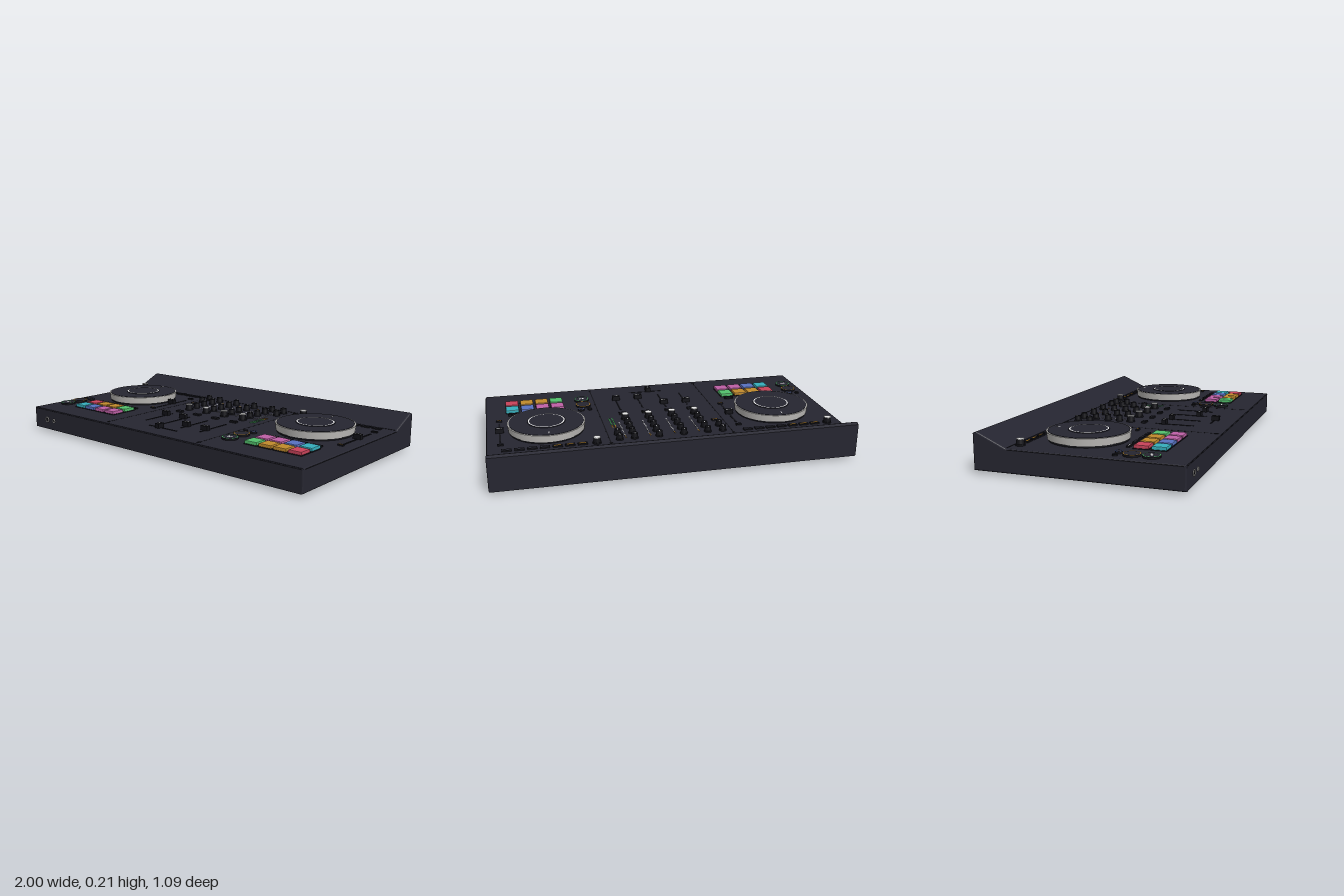
import * as THREE from 'three';

const mat = (name, color) => Object.assign(new THREE.MeshStandardMaterial({ color }), { name });
const M = {
  body: mat('charcoal', 0x252530), black: mat('black', 0x121217), silver: mat('silver', 0xbdbbb8),
  white: mat('white', 0xe4e4e4), red: mat('red', 0xc8435a), orange: mat('orange', 0xc08a2c),
  green: mat('green', 0x52c06c), teal: mat('teal', 0x36aebc), blue: mat('blue', 0x5872c0), pink: mat('pink', 0xbe60a6),
};
const TOP = 0.14; // height of the control surface

function add(parent, name, geo, m, x, y, z) {
  const mesh = new THREE.Mesh(geo, m);
  mesh.name = name;
  mesh.position.set(x, y, z);
  parent.add(mesh);
  return mesh;
}
// box and cylinder resting on height y
const box = (p, name, m, x, z, w, d, h, y = TOP) => add(p, name, new THREE.BoxGeometry(w, h, d), m, x, y + h / 2, z);
const disc = (p, name, m, x, z, r, h, y = TOP, rTop = r, seg = 32) =>
  add(p, name, new THREE.CylinderGeometry(rTop, r, h, seg), m, x, y + h / 2, z);
// flat ring facing up
function ring(p, name, m, x, z, r, w, y) {
  const g = new THREE.RingGeometry(r - w, r, 64);
  g.rotateX(-Math.PI / 2);
  return add(p, name, g, m, x, y, z);
}

function knob(p, name, x, z, r, cap) {
  const g = new THREE.Group();
  g.name = name;
  g.position.set(x, TOP, z);
  disc(g, 'knobSkirt', M.black, 0, 0, r * 1.1, 0.008, 0, r * 1.1, 20);
  disc(g, 'knobBody', M.black, 0, 0, r, 0.032, 0, r * 0.88, 20);
  if (cap) disc(g, 'knobCap', M.white, 0, 0, r * 0.9, 0.003, 0.032, r * 0.9, 20);
  else box(g, 'knobPointer', M.white, 0, -r * 0.4, 0.004, r * 0.75, 0.001, 0.032);
  p.add(g);
}

function fader(p, name, x, z, w, d, alongX) {
  box(p, name + 'Cap', M.black, x, z, w, d, 0.026, TOP + 0.002);
  box(p, name + 'Mark', M.white, x, z, alongX ? 0.003 : w * 0.8, alongX ? d * 0.4 : 0.004, 0.001, TOP + 0.028);
}

function pad(p, m, x, z) {
  const s = 0.034, shape = new THREE.Shape();
  shape.moveTo(-s, -s).lineTo(s, -s).lineTo(s, s).lineTo(-s, s).closePath();
  const g = new THREE.ExtrudeGeometry(shape, { depth: 0.01, bevelSize: 0.004, bevelThickness: 0.004, bevelSegments: 2 });
  g.rotateX(-Math.PI / 2);
  box(p, 'padBed', M.black, x, z, 0.082, 0.082, 0.003);
  add(p, 'performancePad', g, m, x, TOP + 0.006, z);
}

function jogWheel(p) {
  const g = new THREE.Group();
  g.name = 'jogWheel';
  g.position.set(0, TOP, -0.072);
  disc(g, 'jogBase', M.black, 0, 0, 0.208, 0.012, 0, 0.208, 64);
  disc(g, 'jogRim', M.silver, 0, 0, 0.213, 0.038, 0.01, 0.217, 64);
  disc(g, 'jogPlate', M.body, 0, 0, 0.209, 0.002, 0.048, 0.209, 64);
  disc(g, 'jogCentre', M.body, 0, 0, 0.106, 0.003, 0.05, 0.106, 64);
  ring(g, 'jogCentreRing', M.white, 0, 0, 0.102, 0.007, 0.0535);
  box(g, 'jogMarker', M.white, 0, -0.175, 0.005, 0.026, 0.001, 0.05);
  p.add(g);
}

function roundButton(p, name, m, x, z, r) {
  disc(p, name, M.black, x, z, r, 0.01);
  disc(p, name + 'Face', M.body, x, z, r * 0.95, 0.001, TOP + 0.01);
  ring(p, name + 'Light', m, x, z, r, r > 0.03 ? 0.005 : 0.004, TOP + 0.0115);
}

function deck(name, x, padColours) {
  const g = new THREE.Group();
  g.name = name;
  g.position.x = x;
  jogWheel(g);
  padColours.forEach((m, i) => pad(g, m, -0.09 + (i % 4) * 0.0893, i < 4 ? 0.254 : 0.345));
  // cue and play buttons
  roundButton(g, 'cueButton', M.orange, -0.248, 0.254, 0.044);
  roundButton(g, 'playButton', M.green, -0.248, 0.35, 0.044);
  const tri = new THREE.Shape();
  tri.moveTo(-0.013, -0.011).lineTo(0.003, 0).lineTo(-0.013, 0.011).closePath();
  const icon = new THREE.ShapeGeometry(tri);
  icon.rotateX(-Math.PI / 2);
  add(g, 'playIcon', icon, M.white, -0.248, TOP + 0.012, 0.35);
  for (const dx of [0.006, 0.013]) box(g, 'pauseIcon', M.white, -0.248 + dx, 0.35, 0.004, 0.02, 0.001, TOP + 0.011);
  roundButton(g, 'syncButton', M.blue, -0.226, 0.18, 0.019);
  disc(g, 'shiftButton', M.black, -0.278, 0.18, 0.013, 0.008);
  // browse encoder and button row behind the wheel
  knob(g, 'browseKnob', -0.248, -0.329, 0.022, true);
  for (let i = 0; i < 7; i++) {
    const bx = -0.17 + i * 0.0668;
    box(g, 'topButton', M.black, bx, -0.329, 0.052, 0.022, 0.008);
    box(g, 'topButtonFace', i < 3 ? M.orange : M.body, bx, -0.329, i < 3 ? 0.036 : 0.046, i < 3 ? 0.007 : 0.015, 0.001, TOP + 0.008);
  }
  // pad mode buttons
  for (let i = 0; i < 4; i++) {
    const bx = -0.09 + i * 0.0893;
    box(g, 'modeButton', M.black, bx, 0.182, 0.054, 0.018, 0.008);
    box(g, 'modeButtonFace', i ? M.body : M.white, bx, 0.182, 0.042, i ? 0.01 : 0.004, 0.001, TOP + 0.008);
  }
  // tempo slider
  box(g, 'tempoSlot', M.black, 0.26, -0.072, 0.01, 0.27, 0.002);
  fader(g, 'tempoSlider', 0.26, -0.072, 0.046, 0.024);
  box(g, 'tempoResetButton', M.black, 0.26, -0.25, 0.032, 0.016, 0.008);
  box(g, 'keyLockButton', M.black, 0.26, 0.096, 0.032, 0.016, 0.008);
  box(g, 'keyLockLight', M.orange, 0.26, 0.096, 0.022, 0.006, 0.001, TOP + 0.008);
  return g;
}

function mixer() {
  const g = new THREE.Group();
  g.name = 'mixer';
  [-0.208, -0.07, 0.07, 0.208].forEach((x, c) => {
    [-0.307, -0.233, -0.158, -0.088].forEach(z => knob(g, 'channelKnob', x, z, 0.019));
    knob(g, 'filterKnob', x, -0.019, 0.022, true);
    box(g, 'cueSelectButton', M.black, x, 0.063, 0.044, 0.024, 0.01);
    box(g, 'cueSelectFace', M.body, x, 0.063, 0.034, 0.014, 0.001, TOP + 0.01);
    box(g, 'volumeSlot', M.black, x, 0.24, 0.008, 0.22, 0.002);
    fader(g, 'volumeFader', x, c < 2 ? 0.182 : 0.307, 0.046, 0.024);
    // level lights
    for (let i = 0; i < 12; i++)
      box(g, 'levelLight', i < 2 ? M.orange : M.white, x + 0.045, -0.288 + i * 0.0195, 0.007, 0.007, 0.002);
  });
  // master and headphone controls
  for (const x of [-0.294, 0.291]) for (const z of [-0.307, -0.235]) knob(g, 'outerKnob', x, z, 0.019);
  box(g, 'effectButton', M.black, -0.294, -0.155, 0.036, 0.018, 0.008);
  box(g, 'effectLight', M.orange, -0.294, -0.155, 0.024, 0.008, 0.001, TOP + 0.008);
  for (const x of [0.283, 0.3]) for (let i = 0; i < 11; i++)
    box(g, 'masterLight', i < 3 ? M.orange : M.green, x, -0.132 + i * 0.0135, 0.008, 0.007, 0.002);
  // crossfader
  box(g, 'crossfaderSlot', M.black, 0, 0.42, 0.21, 0.008, 0.002);
  fader(g, 'crossfader', -0.02, 0.428, 0.028, 0.042, true);
  return g;
}

function chassis() {
  const g = new THREE.Group();
  g.name = 'chassis';
  // side profile (back is +x here) swept across the width
  const b = 0.008, s = new THREE.Shape();
  [[-0.534, 0.024], [0.537, 0.024], [0.537, 0.198], [0.525, 0.203], [0.512, 0.198], [0.366, 0.132], [-0.534, 0.132]]
    .forEach(([x, y], i) => (i ? s.lineTo(x, y) : s.moveTo(x, y)));
  s.closePath();
  const geo = new THREE.ExtrudeGeometry(s, { depth: 2 - 2 * b, bevelSize: b, bevelThickness: b, bevelSegments: 3 });
  geo.translate(0, 0, -(1 - b));
  geo.rotateY(Math.PI / 2);
  add(g, 'bodyShell', geo, M.body, 0, 0, 0);
  box(g, 'basePlate', M.black, 0, 0, 1.98, 1.064, 0.004, 0.0145);
  // dark seams
  box(g, 'ridgeSeam', M.black, 0, -0.368, 1.98, 0.009, 0.002, TOP - 0.0005);
  for (const x of [-0.345, 0.345]) {
    box(g, 'mixerSeam', M.black, x, 0.08, 0.006, 0.89, 0.001, TOP - 0.0005);
    for (const z of [-0.345, 0.508]) disc(g, 'screw', M.black, x, z, 0.009, 0.002);
  }
  for (const x of [-1, 1]) box(g, 'sideSeam', M.black, x, 0.085, 0.002, 0.89, 0.004, 0.131);
  box(g, 'frontSeam', M.black, 0, 0.542, 1.98, 0.002, 0.004, 0.131);
  // feet
  for (const x of [-0.887, 0.887]) for (const z of [-0.446, 0.443]) disc(g, 'foot', M.black, x, z, 0.031, 0.018, 0);
  // front sockets
  for (const [x, r] of [[-0.88, 0.015], [-0.815, 0.01]]) {
    add(g, 'socketRim', new THREE.TorusGeometry(r, 0.003, 8, 32), M.silver, x, 0.075, 0.544);
    add(g, 'socketHole', new THREE.CircleGeometry(r, 32), M.black, x, 0.075, 0.5435);
  }
  return g;
}

export function createModel() {
  const model = new THREE.Group();
  model.name = 'djController';
  const { red, orange, green, teal, blue, pink } = M;
  model.add(chassis(), mixer(),
    deck('rightDeck', -0.667, [red, orange, orange, green, teal, blue, pink, pink]),
    deck('leftDeck', 0.666, [pink, pink, blue, teal, green, orange, orange, red]));
  return model;
}
